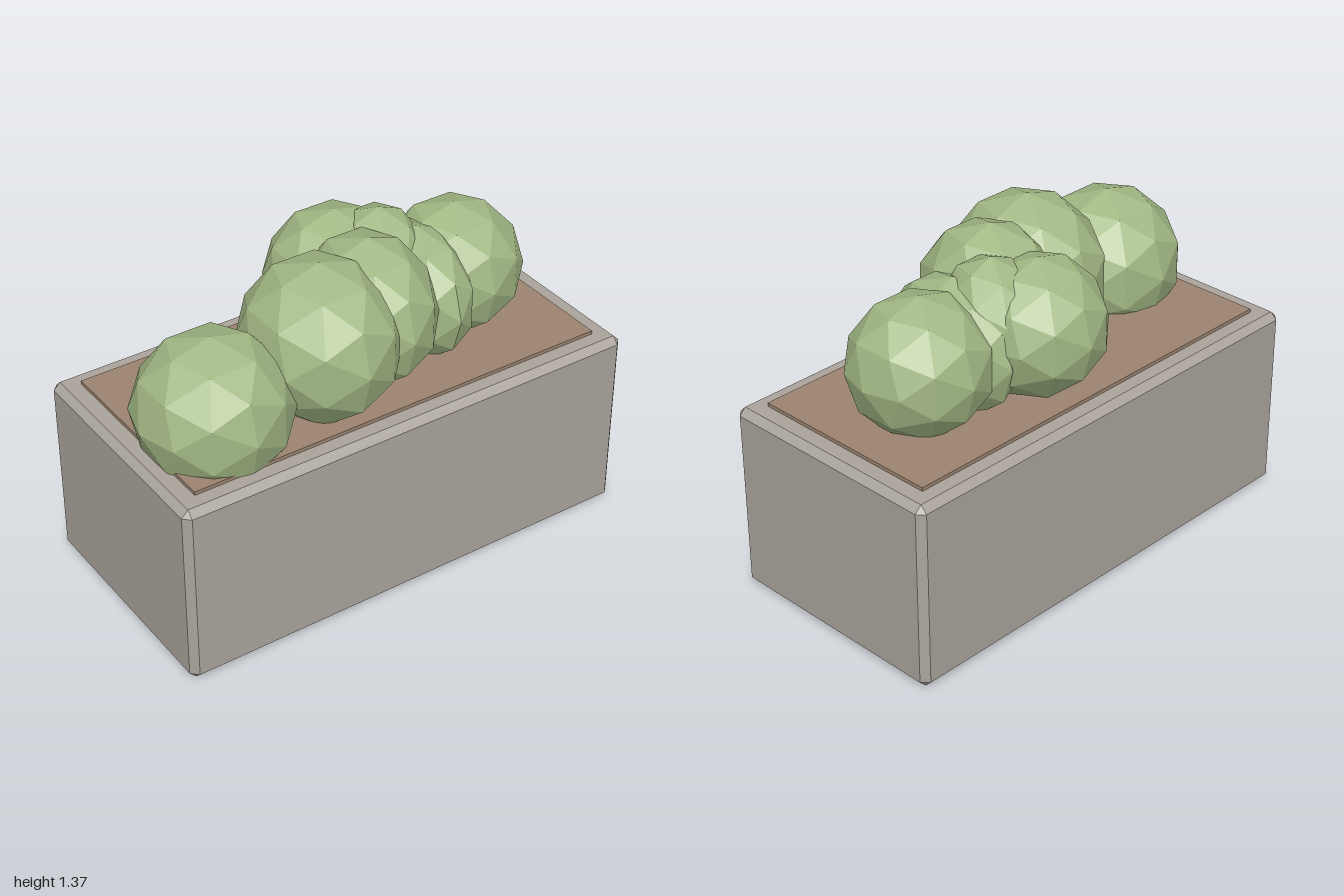
import * as THREE from 'three';
import { ConvexGeometry } from 'three/addons/geometries/ConvexGeometry.js';

const material = (name, color) => {
  const m = new THREE.MeshStandardMaterial({ color, flatShading: true });
  m.name = name;
  return m;
};

// Box standing on y = 0 with a flat chamfer on every edge and corner
function chamferedBox(w, h, d, c) {
  const points = [];
  for (const sx of [-1, 1]) for (const sy of [-1, 1]) for (const sz of [-1, 1]) {
    for (let axis = 0; axis < 3; axis++) {
      // Only one axis per point reaches its full face
      const inset = [0, 1, 2].map((i) => (i === axis ? 0 : c));
      points.push(new THREE.Vector3(
        sx * (w / 2 - inset[0]), h / 2 + sy * (h / 2 - inset[1]), sz * (d / 2 - inset[2])));
    }
  }
  return new ConvexGeometry(points);
}

export function createModel() {
  const stone = material('stone grey', 0xaaa49c);
  const earth = material('soil brown', 0x9c8470);
  const leaf = material('leaf green', 0xa2b884);

  const group = new THREE.Group();
  group.name = 'planter';
  const add = (name, geometry, mat, x = 0, y = 0, z = 0) => {
    const mesh = new THREE.Mesh(geometry, mat);
    mesh.name = name;
    mesh.position.set(x, y, z);
    group.add(mesh);
    return mesh;
  };

  // Stone trough and the soil slab on top
  add('trough', chamferedBox(2, 0.788, 1, 0.028), stone);
  add('soil', new THREE.BoxGeometry(1.82, 0.06, 0.83), earth, 0, 0.773, 0);

  // Clipped bushes: centre, then radii
  const bushes = [
    [-0.67, 0.925, 0.155, 0.31, 0.305, 0.31],
    [-0.2, 1.045, 0.15, 0.305, 0.328, 0.335],
    [0.06, 1.05, 0.09, 0.255, 0.31, 0.31],
    [0.1, 1.05, -0.195, 0.28, 0.28, 0.275],
    [0.235, 1.06, -0.09, 0.2, 0.285, 0.23],
    [0.345, 0.99, 0, 0.19, 0.28, 0.305],
    [0.555, 1.005, -0.04, 0.285, 0.282, 0.28],
  ];
  const ball = new THREE.IcosahedronGeometry(1, 1);
  bushes.forEach(([x, y, z, rx, ry, rz], i) => {
    add(`bush${i + 1}`, ball, leaf, x, y, z).scale.set(rx, ry, rz);
  });
  return group;
}
